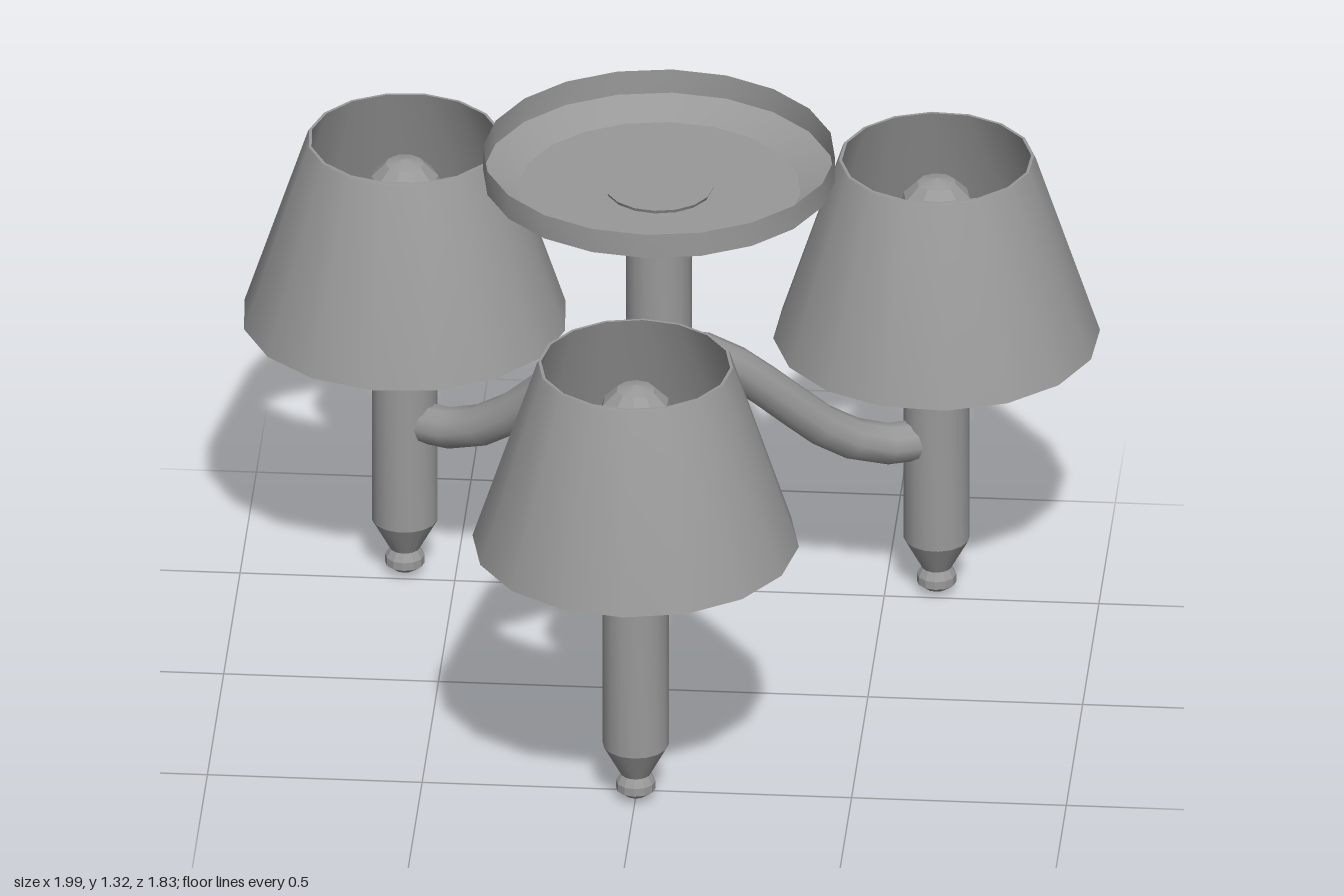
import * as THREE from 'three';
import { toCreasedNormals } from 'three/addons/utils/BufferGeometryUtils.js';

const grey = new THREE.MeshStandardMaterial({ color: 0x999999 });
const greyThin = new THREE.MeshStandardMaterial({ color: 0x999999, side: THREE.DoubleSide });

const CENTRE_Z = -0.18;  // axis of the central stem
const ARM_REACH = 0.715; // stem axis to lamp axis
const STEM_LIFT = 0.565; // central stem repeats the lamp holder, higher up

function part(name, geometry, material = grey) {
  const mesh = new THREE.Mesh(geometry, material);
  mesh.name = name;
  return mesh;
}

// Turned part from [radius, height] pairs listed bottom to top
function turned(name, profile, sides = 16, material = grey) {
  const points = profile.map(([r, y]) => new THREE.Vector2(r, y));
  return part(name, toCreasedNormals(new THREE.LatheGeometry(points, sides), 0.4), material);
}

// Column with a flared cup on top and a tapered foot ending in a small ball
function createHolder(name) {
  const group = new THREE.Group();
  group.name = name;
  group.add(turned('column', [
    [0, 0.065], [0.035, 0.065], [0.077, 0.142], [0.077, 0.55], [0.127, 0.665], [0, 0.665],
  ]));
  group.add(turned('finial', [
    [0, 0], [0.026, 0.01], [0.046, 0.025], [0.046, 0.045], [0.03, 0.072], [0, 0.078],
  ], 12));
  return group;
}

// Tapered open shade with a thin wall and a four-spoke carrier
function createShade() {
  const group = new THREE.Group();
  group.name = 'shade';
  group.add(turned('shadeWall', [
    [0.38, 0.674], [0.23, 1.132], [0.227, 1.138], [0.22, 1.138], [0.372, 0.674], [0.38, 0.674],
  ]));
  for (let i = 0; i < 4; i++) {
    const a = (i * Math.PI) / 2;
    const spoke = part('spoke', new THREE.BoxGeometry(0.008, 0.008, 0.31));
    spoke.position.set(Math.sin(a) * 0.215, 0.682, Math.cos(a) * 0.215);
    spoke.rotation.y = a;
    group.add(spoke);
  }
  return group;
}

// S-curved arm running outward along +z from the central stem
function createArm() {
  const path = new THREE.CatmullRomCurve3([
    [0.02, 0.79], [0.1, 0.77], [0.2, 0.705], [0.31, 0.605],
    [0.43, 0.495], [0.56, 0.422], [0.69, 0.405],
  ].map(([z, y]) => new THREE.Vector3(0, y, z)));
  return part('arm', new THREE.TubeGeometry(path, 8, 0.049, 10));
}

export function createModel() {
  const model = new THREE.Group();
  model.name = 'ceilingLight';

  // Ceiling dish and central stem
  const centre = new THREE.Group();
  centre.name = 'centre';
  centre.position.z = CENTRE_Z;
  centre.add(turned('ceilingDish', [
    [0, 1.221], [0.33, 1.221], [0.41, 1.256], [0.41, 1.317],
  ], 20, greyThin));
  const stem = createHolder('centralStem');
  stem.position.y = STEM_LIFT;
  centre.add(stem);
  model.add(centre);

  // Three equal branches around the stem
  for (let i = 0; i < 3; i++) {
    const branch = new THREE.Group();
    branch.name = 'branch';
    branch.rotation.y = (i * Math.PI * 2) / 3;
    branch.add(createArm());

    const lamp = new THREE.Group();
    lamp.name = 'lamp';
    lamp.position.z = ARM_REACH;
    lamp.add(createHolder('lampHolder'), createShade());
    lamp.add(turned('socket', [[0.078, 0.66], [0.078, 0.86], [0, 0.86]], 12));
    lamp.add(turned('bulb', [
      [0.055, 0.85], [0.065, 0.9], [0.085, 0.95], [0.09, 0.995],
      [0.078, 1.04], [0.045, 1.073], [0, 1.085],
    ], 10));
    branch.add(lamp);
    centre.add(branch);
  }
  return model;
}
